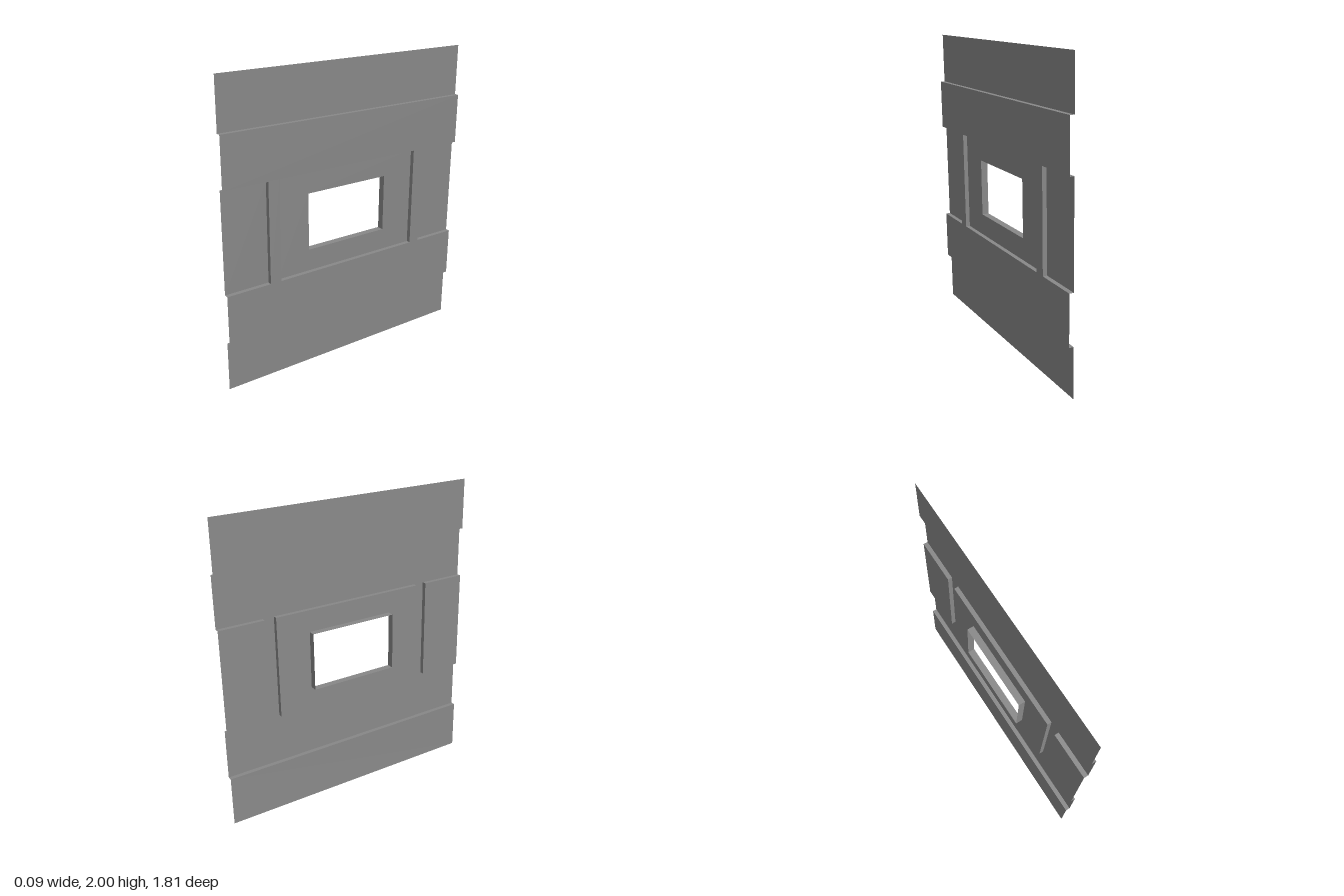
import * as THREE from 'three';

const material = new THREE.MeshStandardMaterial({ color: 0x888888, side: THREE.DoubleSide, flatShading: true });

// Main dimensions; heights are measured from the middle of the wall
const HALF_W = 0.905;      // half length along z
const ROWS = [0.335, 0.667, 1]; // half heights of the recess row, raised band and whole wall
const RAISE = 0.029;       // step between recessed and raised sheet
const REVEAL = 0.046;      // depth of the window reveal
const WIN = { z: 0.3, lo: -0.19, hi: 0.191 };
const STRIP = [0.527, 0.602]; // upright raised strip, inner and outer z

export function createModel() {
  const wall = new THREE.Group();
  wall.name = 'wallPanel';

  const add = (name, geometry, x, y, z) => {
    const mesh = new THREE.Mesh(geometry, material);
    mesh.name = name;
    mesh.position.set(x, y, z);
    wall.add(mesh);
  };
  // Flat sheet facing +x
  const sheet = (name, x, z0, z1, y0, y1) =>
    add(name, new THREE.PlaneGeometry(z1 - z0, y1 - y0).rotateY(Math.PI / 2), x, (y0 + y1) / 2, (z0 + z1) / 2);
  // Level strip between two depths
  const ledge = (name, y, x0, x1, z0, z1) =>
    add(name, new THREE.PlaneGeometry(x1 - x0, z1 - z0).rotateX(-Math.PI / 2), (x0 + x1) / 2, y, (z0 + z1) / 2);
  // Upright strip between two depths
  const jamb = (name, z, x0, x1, y0, y1) =>
    add(name, new THREE.PlaneGeometry(x1 - x0, y1 - y0), (x0 + x1) / 2, (y0 + y1) / 2, z);

  const [inner, band, outer] = ROWS;

  // Upper and lower bands, mirrored in height
  for (const [side, s] of [['upper', 1], ['lower', -1]]) {
    const span = (a, b) => (s > 0 ? [a, b] : [-b, -a]);
    sheet(side + 'RecessedBand', 0, -HALF_W, HALF_W, ...span(band, outer));
    sheet(side + 'RaisedBand', RAISE, -HALF_W, HALF_W, ...span(inner, band));
    ledge(side + 'BandLedge', s * band, 0, RAISE, -HALF_W, HALF_W);
    ledge(side + 'CentreLedge', s * inner, 0, RAISE, -STRIP[0], STRIP[0]);
    ledge(side + 'FrontSideLedge', s * inner, 0, RAISE, STRIP[1], HALF_W);
    ledge(side + 'BackSideLedge', s * inner, 0, RAISE, -HALF_W, -STRIP[1]);
  }

  // Side recesses and upright strips, mirrored along the wall
  for (const [side, s] of [['front', 1], ['back', -1]]) {
    const span = (a, b) => (s > 0 ? [a, b] : [-b, -a]);
    sheet(side + 'SidePanel', 0, ...span(STRIP[1], HALF_W), -inner, inner);
    sheet(side + 'RaisedStrip', RAISE, ...span(...STRIP), -inner, inner);
    for (const z of STRIP) jamb(side + 'StripEdge', s * z, 0, RAISE, -inner, inner);
    jamb(side + 'WindowJamb', s * WIN.z, -REVEAL, 0, WIN.lo, WIN.hi);
  }

  // Central recessed panel with the window opening
  const rect = (path, w, lo, hi) => path.moveTo(-w, lo).lineTo(w, lo).lineTo(w, hi).lineTo(-w, hi).closePath();
  const panel = rect(new THREE.Shape(), STRIP[0], -inner, inner);
  panel.holes.push(rect(new THREE.Path(), WIN.z, WIN.lo, WIN.hi));
  add('windowPanel', new THREE.ShapeGeometry(panel).rotateY(Math.PI / 2), 0, 0, 0);

  // Window sill and head
  ledge('windowSill', WIN.lo, -REVEAL, 0, -WIN.z, WIN.z);
  ledge('windowHead', WIN.hi, -REVEAL, 0, -WIN.z, WIN.z);

  // The whole wall leans slightly towards +x
  wall.rotation.z = -0.0227;
  wall.position.set(0.0025, 1, 0);
  const model = new THREE.Group();
  model.name = 'wallWithWindow';
  model.add(wall);
  return model;
}
